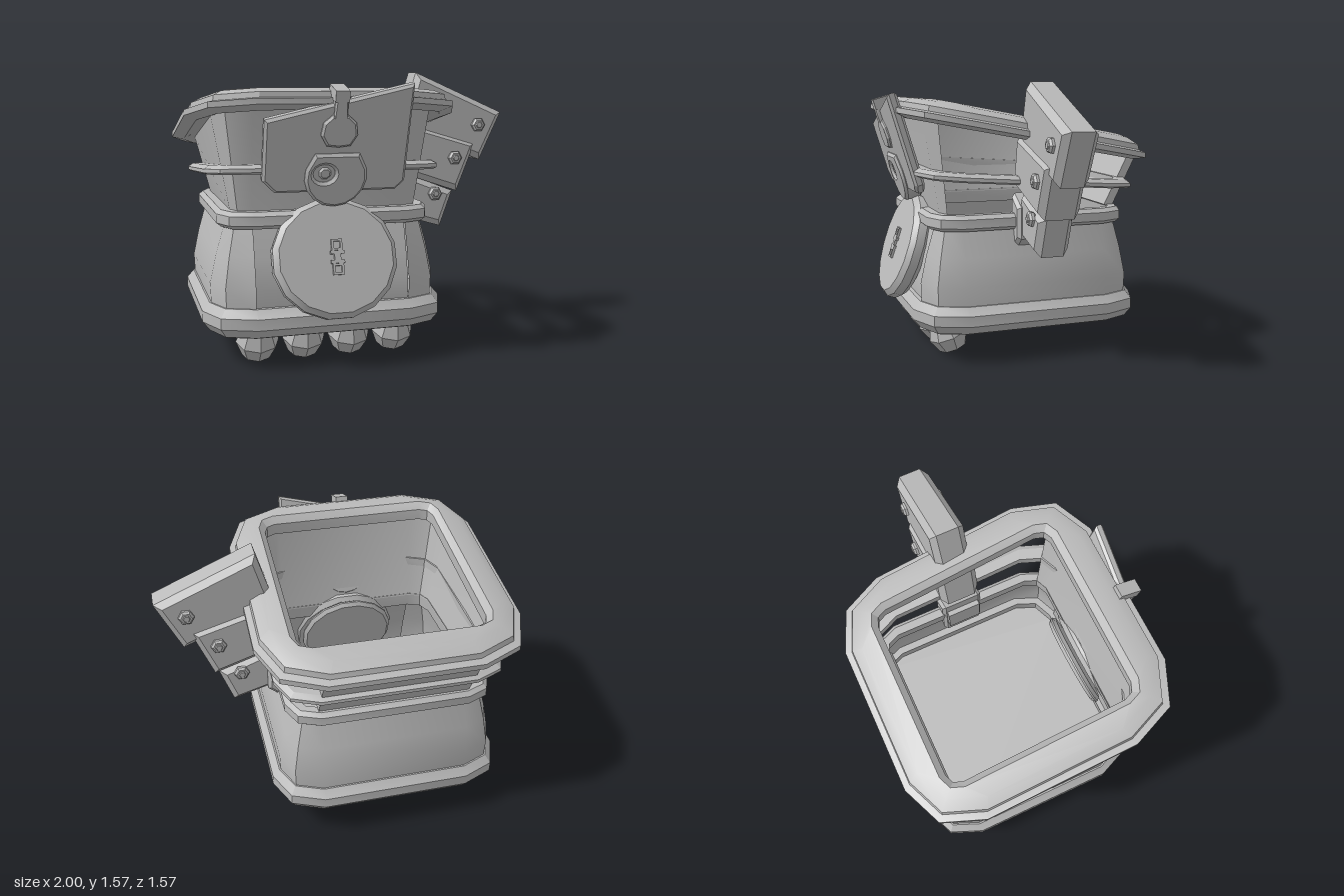
import * as THREE from 'three';
import { toCreasedNormals } from 'three/addons/utils/BufferGeometryUtils.js';

const CX = -0.24, CZ = -0.03;
const grey = new THREE.MeshStandardMaterial({ color: 0xbababa, side: THREE.DoubleSide });
grey.name = 'plainGrey';

function add(parent, name, geometry, x = 0, y = 0, z = 0, crease = 0.4) {
  const mesh = new THREE.Mesh(toCreasedNormals(geometry, crease), grey);
  mesh.name = name;
  mesh.position.set(x, y, z);
  parent.add(mesh);
  return mesh;
}

// Square outline with two-sided rounded corners: half width h, corner size c
function outline(h, y, c = h - 0.425, slope = 0) {
  const pts = [];
  [[1, 1], [-1, 1], [-1, -1], [1, -1]].forEach(([sx, sz], k) => {
    for (let j = 0; j < 3; j++) {
      const a = k * Math.PI / 2 + j * Math.PI / 4;
      const z = sz * (h - c) + c * Math.sin(a);
      pts.push(new THREE.Vector3(sx * (h - c) + c * Math.cos(a), y + slope * z, z));
    }
  });
  return pts;
}

// Skin between outlines, listed upward on the outside; skip leaves sides open
function loft(sections, closed = false, skip = []) {
  const rings = sections.map(s => outline(...s));
  if (closed) rings.push(rings[0]);
  const pos = [];
  for (let r = 0; r < rings.length - 1; r++) {
    for (let i = 0; i < 12; i++) {
      if (skip.includes(i)) continue;
      const j = (i + 1) % 12;
      const a = rings[r][i], b = rings[r][j], c = rings[r + 1][j], d = rings[r + 1][i];
      [a, c, b, a, d, c].forEach(p => pos.push(p.x, p.y, p.z));
    }
  }
  const g = new THREE.BufferGeometry();
  g.setAttribute('position', new THREE.Float32BufferAttribute(pos, 3));
  g.computeVertexNormals();
  return g;
}

// Bevelled plate centred on z = 0
function plate(points, depth, bevel, hole) {
  const shape = new THREE.Shape(points.map(p => new THREE.Vector2(...p)));
  if (hole) shape.holes.push(hole);
  const g = new THREE.ExtrudeGeometry(shape, {
    depth: depth - 2 * bevel, bevelEnabled: bevel > 0, bevelSize: bevel, bevelThickness: bevel,
    bevelOffset: -bevel, bevelSegments: 1, curveSegments: 8,
  });
  return g.translate(0, 0, bevel - depth / 2);
}

function disc(r, depth, bevel, sides) {
  const h = depth / 2;
  const profile = [[0, -h], [r - bevel, -h], [r, -h + bevel], [r, h - bevel], [r - bevel, h], [0, h]];
  const g = new THREE.LatheGeometry(profile.map(p => new THREE.Vector2(...p)), sides);
  return g.rotateY(Math.PI / sides).rotateX(Math.PI / 2);
}

export function createModel() {
  const root = new THREE.Group();
  root.name = 'basket';
  const body = new THREE.Group();
  body.name = 'body';
  body.position.set(CX, 0, CZ);
  root.add(body);

  // Floor and lower rim
  const floor = new THREE.Shape(outline(0.625, 0).map(p => new THREE.Vector2(p.x, p.z)));
  add(body, 'floor', new THREE.ExtrudeGeometry(floor, { depth: 0.07, bevelEnabled: false }).rotateX(Math.PI / 2), 0, 0.242);
  add(body, 'lowerRim', loft([
    [0.61, 0.172], [0.645, 0.18], [0.685, 0.23], [0.685, 0.29], [0.645, 0.335], [0.59, 0.335],
  ], true));

  // Lower bulging wall with a flat panel behind the front disc
  const lowerSections = [[0.635, 0.32], [0.64, 0.44], [0.605, 0.6], [0.555, 0.77]];
  add(body, 'lowerWall', loft(lowerSections, false, [2]), 0, 0, 0, 0.7);
  add(body, 'frontPanel', loft(lowerSections, false, [0, 1, 3, 4, 5, 6, 7, 8, 9, 10, 11]), 0, 0, -0.015);

  // Waist rim
  add(body, 'waistRim', loft([
    [0.535, 0.75], [0.575, 0.75], [0.60, 0.77], [0.60, 0.82], [0.575, 0.842], [0.525, 0.842],
  ], true));

  // Upper wall, left open on the arm side
  add(body, 'upperWall', loft([[0.525, 0.83], [0.62, 1.275, 0.195, 0.19]], false, [0, 8, 9, 10, 11]));

  // Leaning plate closing the back
  const backPlate = add(body, 'backPlate', new THREE.BoxGeometry(0.87, 0.37, 0.05), 0, 0.995, -0.61);
  backPlate.rotation.x = -0.47;

  // Thin sloping band
  add(body, 'band', loft([
    [0.57, 1.0, 0.17, 0.075], [0.64, 1.0, 0.2, 0.075], [0.66, 1.01, 0.22, 0.075],
    [0.66, 1.03, 0.22, 0.075], [0.63, 1.05, 0.2, 0.075], [0.57, 1.05, 0.17, 0.075],
  ], true));

  // Broad sloping top rim
  add(body, 'topRim', loft([
    [0.53, 1.28, 0.07, 0.19], [0.69, 1.245, 0.3, 0.19], [0.755, 1.265, 0.33, 0.19], [0.755, 1.295, 0.33, 0.19],
    [0.72, 1.305, 0.31, 0.19], [0.715, 1.335, 0.31, 0.19], [0.66, 1.365, 0.28, 0.19],
    [0.565, 1.378, 0.1, 0.19], [0.53, 1.345, 0.07, 0.19],
  ], true));

  // Feet along the front
  for (let i = 0; i < 4; i++) {
    const foot = add(root, 'foot', new THREE.SphereGeometry(0.12, 8, 4), -0.635 + i * 0.26, 0.118, 0.44);
    foot.rotation.x = 0.35;
  }

  // Large tilted front disc with a small clasp
  const shield = new THREE.Group();
  shield.name = 'frontDisc';
  shield.position.set(CX, 0.585, 0.61);
  shield.rotation.x = -0.32;
  root.add(shield);
  add(shield, 'discBody', disc(0.345, 0.11, 0.03, 16)).scale.y = 0.95;
  for (const y of [-0.065, 0.065]) {
    const hole = new THREE.Path([[-0.018, -0.018], [-0.018, 0.018], [0.018, 0.018], [0.018, -0.018]]
      .map(p => new THREE.Vector2(...p)));
    add(shield, 'claspFrame', plate([[-0.03, -0.03], [0.03, -0.03], [0.03, 0.03], [-0.03, 0.03]], 0.02, 0, hole), 0, y, 0.06);
  }
  for (const y of [-0.025, 0.025]) add(shield, 'claspBar', new THREE.BoxGeometry(0.075, 0.018, 0.02), 0, y, 0.06);
  add(shield, 'claspCore', new THREE.BoxGeometry(0.035, 0.04, 0.02), 0, 0, 0.06);

  // Round boss on the inner side of the front disc
  const inner = add(body, 'innerDisc', disc(0.3, 0.05, 0.02, 16), 0, 0.6, 0.53);
  inner.rotation.x = -0.3;

  // Slanted front plaque with lock
  const plaque = new THREE.Group();
  plaque.name = 'frontPlaque';
  plaque.position.set(CX, 0.95, 0.58);
  plaque.rotation.x = 0.29;
  root.add(plaque);
  add(plaque, 'plaquePlate', plate([
    [-0.39, 0.07], [-0.32, 0], [0.34, 0], [0.39, 0.05], [0.39, 0.59], [-0.39, 0.40],
  ], 0.06, 0.015));
  const eye = new THREE.Path().absellipse(-0.065, 0.02, 0.06, 0.05, 0, Math.PI * 2, true);
  const bossOutline = [[-0.12, 0.13], ...Array.from({ length: 11 }, (_, i) => {
    const a = Math.PI * (0.92 + i * 0.116);
    return [0.17 * Math.cos(a), 0.17 * Math.sin(a)];
  }), [0.12, 0.13]];
  add(plaque, 'lockBoss', plate(bossOutline, 0.11, 0.015, eye), 0, 0.09, -0.005);
  add(plaque, 'lockBossBack', disc(0.12, 0.05, 0.005, 10), 0, 0.09, -0.03);
  add(plaque, 'lockStud', disc(0.035, 0.05, 0.01, 8), -0.06, 0.11, 0.015);
  const pin = [[-0.035, 0.21], [-0.035, 0.09], ...Array.from({ length: 9 }, (_, i) => {
    const a = Math.PI * (0.62 + i * 0.22);
    return [0.1 * Math.cos(a), Math.max(-0.085, 0.1 * Math.sin(a))];
  }), [0.035, 0.09], [0.035, 0.21]];
  add(plaque, 'latchPin', plate(pin, 0.06, 0.012), 0, 0.34, 0.02);
  add(plaque, 'latchHook', new THREE.BoxGeometry(0.075, 0.06, 0.13), 0, 0.53, -0.015);

  // Side arm of three overlapping bevelled plates, bolted through
  const arm = new THREE.Group();
  arm.name = 'sideArm';
  arm.position.z = CZ;
  root.add(arm);
  const plates = [
    [[[0.33, 1.25], [0.86, 1.04], [1.0, 1.335], [0.43, 1.58]], 0.20, 0.83, 1.26],
    [[[0.28, 0.99], [0.70, 0.85], [0.82, 1.15], [0.34, 1.29]], 0.24, 0.67, 1.06],
    [[[0.31, 0.715], [0.60, 0.63], [0.68, 0.85], [0.36, 0.97]], 0.20, 0.55, 0.84],
  ];
  for (const [points, depth, bx, by] of plates) {
    add(arm, 'armPlate', plate(points, depth, 0.035));
    for (const s of [-1, 1]) {
      add(arm, 'boltHead', disc(0.045, 0.04, 0.012, 6), bx, by, s * (depth / 2 + 0.006));
      add(arm, 'boltTip', disc(0.025, 0.03, 0.008, 6), bx, by, s * (depth / 2 + 0.016));
    }
  }
  // Bracket holding the arm to the waist rim
  add(arm, 'armBracket', plate([[0.28, 0.62], [0.34, 0.65], [0.40, 0.70], [0.40, 0.88], [0.28, 0.95]], 0.25, 0.02));
  add(arm, 'innerBracket', new THREE.BoxGeometry(0.04, 0.16, 0.2), 0.27, 0.8, 0);

  return root;
}
